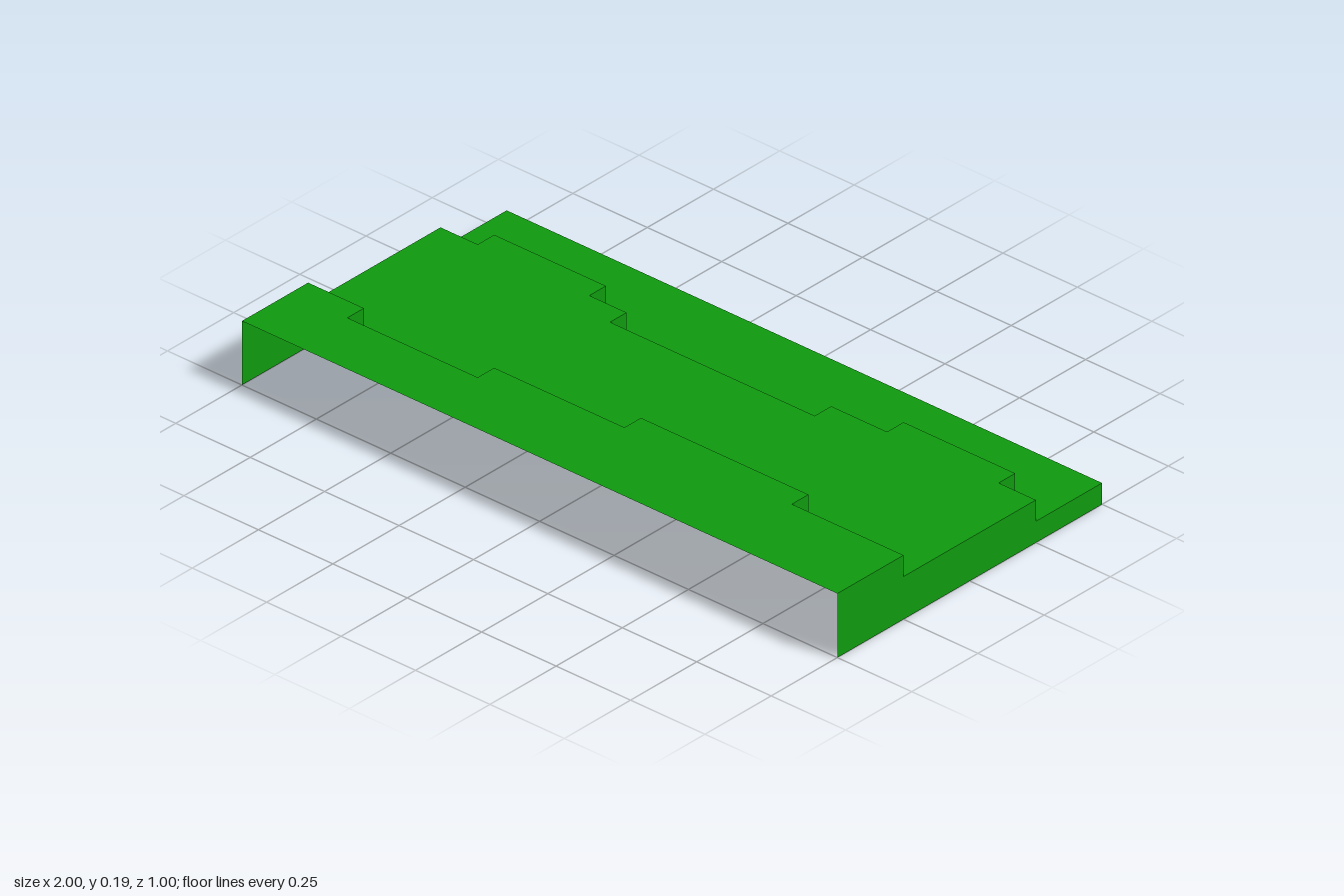
import * as THREE from 'three';

const STEP = 0.0625; // height of one terrace
const HALF_W = 1, HALF_D = 0.5;

// Terrace edges as [start x, z] runs from -x to +x
const backRuns = [[-1, -0.25], [-0.875, -0.3125], [-0.5, -0.25], [-0.375, -0.1875],
  [0.3125, -0.25], [0.5, -0.3125], [0.875, -0.25]];
const frontRuns = [[-1, 0.25], [-0.8125, 0.3125], [-0.375, 0.25], [0.0625, 0.1875], [0.625, 0.25]];

// Turn runs into a right-angled [x, z] path
function edgePath(runs) {
  return runs.flatMap(([x, z], i) => [[x, z], [i + 1 < runs.length ? runs[i + 1][0] : HALF_W, z]]);
}

function shapeOf(points) {
  return new THREE.Shape(points.map(([x, y]) => new THREE.Vector2(x, y)));
}

// Flat ground between two edge paths at height y
function terrace(backPath, frontPath, y) {
  const outline = [...backPath, ...[...frontPath].reverse()].map(([x, z]) => [x, -z]);
  return new THREE.ShapeGeometry(shapeOf(outline)).rotateX(-Math.PI / 2).translate(0, y, 0);
}

// Upright strip along a path, facing the back
function riser(path, y0, y1) {
  const pos = [];
  for (let i = path.length - 1; i > 0; i--) {
    const [ax, az] = path[i], [bx, bz] = path[i - 1];
    pos.push(ax, y0, az, bx, y0, bz, bx, y1, bz);
    pos.push(ax, y0, az, bx, y1, bz, ax, y1, az);
  }
  const g = new THREE.BufferGeometry();
  g.setAttribute('position', new THREE.Float32BufferAttribute(pos, 3));
  g.computeVertexNormals();
  return g;
}

// Stepped end wall; side is +1 or -1 along x
function endWall(side) {
  const profile = [[HALF_D, 0], [HALF_D, 3 * STEP], [0.25, 3 * STEP], [0.25, 2 * STEP],
    [-0.25, 2 * STEP], [-0.25, STEP], [-HALF_D, STEP], [-HALF_D, 0]];
  return new THREE.ShapeGeometry(shapeOf(profile.map(([z, y]) => [-side * z, y])))
    .rotateY(side * Math.PI / 2).translate(side * HALF_W, 0, 0);
}

export function createModel() {
  const group = new THREE.Group();
  group.name = 'terracedSlope';
  const grass = new THREE.MeshStandardMaterial({ color: 0x0f9a0f, side: THREE.DoubleSide });
  grass.name = 'grassGreen';
  const add = (name, geometry) => {
    const mesh = new THREE.Mesh(geometry, grass);
    mesh.name = name;
    group.add(mesh);
  };

  // Edges from back to front; the shell is open at the front and underneath
  const edges = [
    [[-HALF_W, -HALF_D], [HALF_W, -HALF_D]],
    edgePath(backRuns),
    edgePath(frontRuns),
    [[-HALF_W, HALF_D], [HALF_W, HALF_D]],
  ];
  ['lower', 'middle', 'upper'].forEach((level, i) => {
    add(level + 'Terrace', terrace(edges[i], edges[i + 1], (i + 1) * STEP));
    add(level + 'Riser', riser(edges[i], i * STEP, (i + 1) * STEP));
  });
  add('leftEndWall', endWall(1));
  add('rightEndWall', endWall(-1));
  return group;
}
